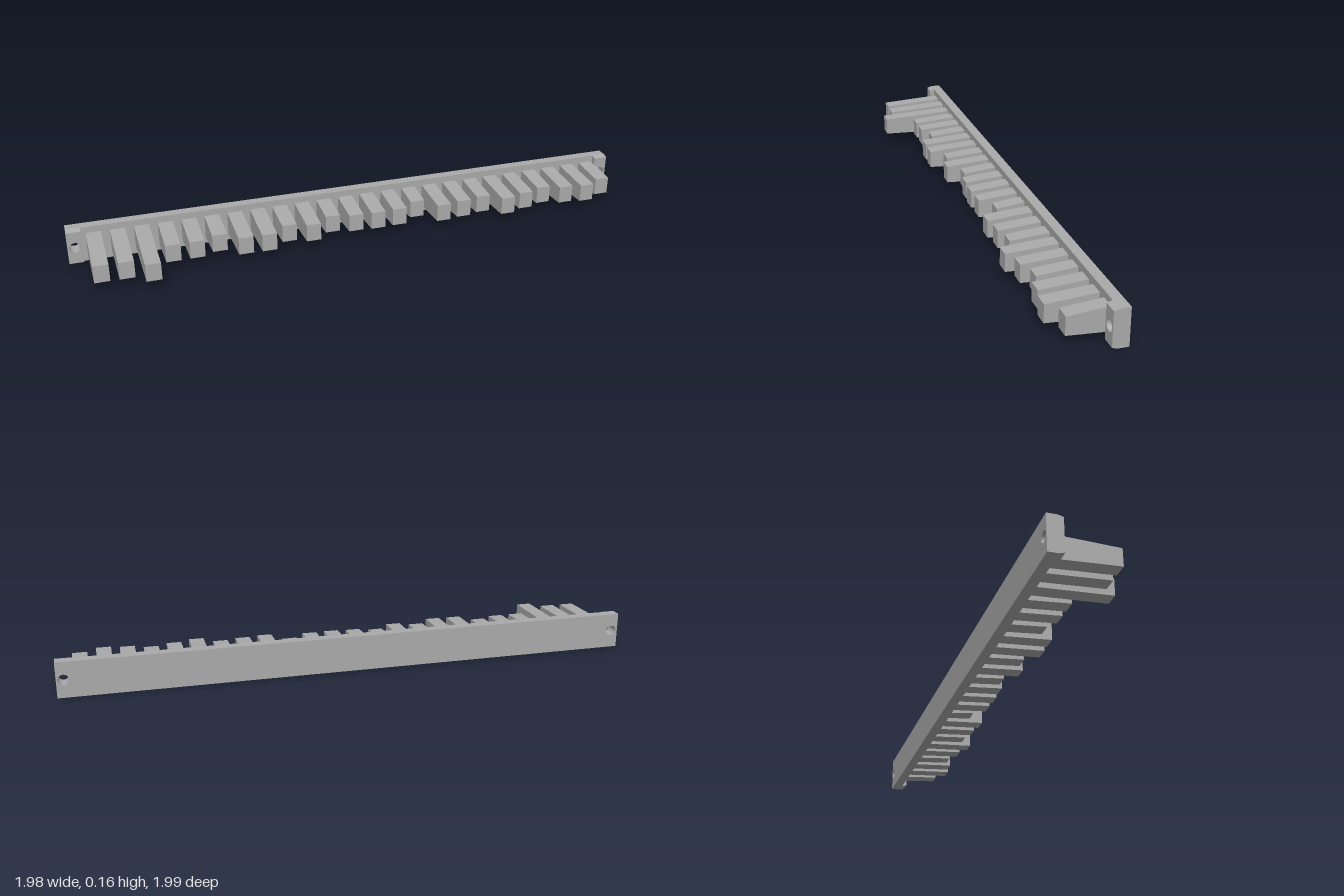
import * as THREE from 'three';

const HEIGHT = 0.163, MID = HEIGHT / 2;
const LENGTH = 2.611, PLATE = 0.045, TAB = 0.064, TAB_DEPTH = 0.023;
const HOLE_R = 0.024;

// rectangle in the plate's own plane, with round holes at the given positions
function panel(x0, x1, depth, holes) {
  const shape = new THREE.Shape([
    new THREE.Vector2(x0, 0), new THREE.Vector2(x1, 0),
    new THREE.Vector2(x1, HEIGHT), new THREE.Vector2(x0, HEIGHT),
  ]);
  for (const x of holes) {
    const hole = new THREE.Path();
    hole.absarc(x, MID, HOLE_R, 0, Math.PI * 2, true);
    shape.holes.push(hole);
  }
  return new THREE.ExtrudeGeometry(shape, { depth, bevelEnabled: false, curveSegments: 20 });
}

// move the top and bottom edges inward at the far end
function taper(geometry, inset) {
  const p = geometry.attributes.position;
  geometry.computeBoundingBox();
  const { min, max } = geometry.boundingBox;
  for (let i = 0; i < p.count; i++) {
    const d = p.getY(i) - (min.y + max.y) / 2;
    if (p.getZ(i) > max.z - 1e-4 && Math.abs(d) > 0.04) {
      p.setY(i, p.getY(i) - Math.sign(d) * inset);
    }
  }
  geometry.computeVertexNormals();
  return geometry;
}

export function createModel() {
  const model = new THREE.Group();
  model.name = 'toothedBar';
  const grey = new THREE.MeshStandardMaterial({ color: 0xaaaaaa });
  grey.name = 'grey';

  const bar = new THREE.Group();
  bar.name = 'bar';
  bar.position.set(-0.992, 0, 0.814);
  bar.rotation.y = 0.768;
  model.add(bar);

  const add = (name, geometry, z = 0) => {
    const mesh = new THREE.Mesh(geometry, grey);
    mesh.name = name;
    mesh.position.z = z;
    bar.add(mesh);
    return mesh;
  };

  // back plate with a screw hole at each end
  const holeXs = [TAB / 2, LENGTH - TAB / 2];
  add('backPlate', panel(0, LENGTH, PLATE, holeXs));

  // raised mounting pads around the holes
  holeXs.forEach((x, i) => {
    add(i ? 'rightPad' : 'leftPad',
      taper(panel(x - TAB / 2, x + TAB / 2, TAB_DEPTH, [x]), 0.007), PLATE);
  });

  // teeth of varying reach, measured from the rear face
  const reach = [
    0.328, 0.330, 0.382, 0.245, 0.244, 0.216, 0.275, 0.278,
    0.222, 0.250, 0.196, 0.218, 0.225, 0.222, 0.172, 0.246,
    0.235, 0.218, 0.272, 0.245, 0.218, 0.248, 0.262, 0.219,
  ];
  reach.forEach((end, i) => {
    const depth = end - PLATE;
    const tooth = new THREE.BoxGeometry(0.066, 0.105, depth).toNonIndexed();
    tooth.translate(0.116 + i * 0.1039, MID, depth / 2);
    add('tooth' + (i + 1), taper(tooth, 0.013), PLATE);
  });

  return model;
}
